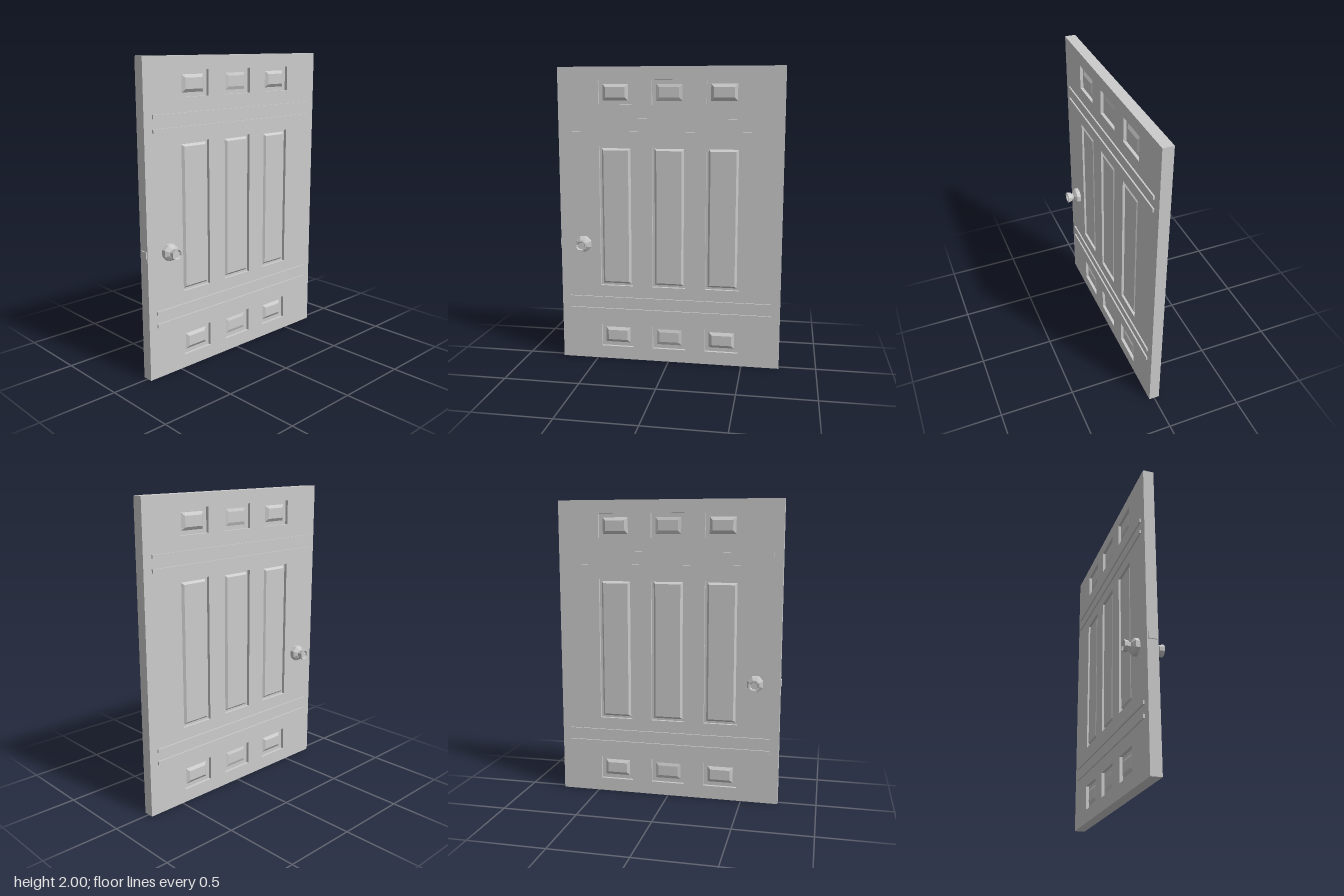
import * as THREE from 'three';

const WIDTH = 1.5, HEIGHT = 2, HALF = 0.035, RECESS = 0.02;
const COLUMNS = [-0.36, 0, 0.36];
const material = new THREE.MeshStandardMaterial({ color: 0xcccccc, flatShading: true });

// Recessed panels: three small ones above and below, three tall ones between
const panels = COLUMNS.flatMap((x) => {
  const raise = x === 0 ? 0.007 : 0.014;
  return [
    { name: 'lowerPanel', x, y: 0.17, w: 0.225, h: 0.16, inset: 0.026, bevel: 0.02, raise },
    { name: 'tallPanel', x, y: 1.004, w: 0.225, h: 0.955, inset: 0.014, bevel: 0.014, raise: 0.016 },
    { name: 'upperPanel', x, y: 1.834, w: 0.225, h: 0.16, inset: 0.026, bevel: 0.02, raise },
  ];
});

function addMesh(parent, name, geometry, x = 0, y = 0, z = 0) {
  const mesh = new THREE.Mesh(geometry, material);
  mesh.name = name;
  mesh.position.set(x, y, z);
  parent.add(mesh);
  return mesh;
}

function rectangle(PathType, x, y, w, h) {
  return new PathType([[-1, -1], [1, -1], [1, 1], [-1, 1]].map(
    ([sx, sy]) => new THREE.Vector2(x + sx * w / 2, y + sy * h / 2)));
}

// Box whose front face is drawn in by the bevel on all four sides
function bevelledField(w, h, depth, bevel) {
  const geometry = new THREE.BoxGeometry(w, h, depth);
  const p = geometry.attributes.position;
  for (let i = 0; i < p.count; i++) {
    if (p.getZ(i) > 0) {
      p.setX(i, p.getX(i) - Math.sign(p.getX(i)) * bevel);
      p.setY(i, p.getY(i) - Math.sign(p.getY(i)) * bevel);
    }
  }
  geometry.translate(0, 0, depth / 2);
  geometry.computeVertexNormals();
  return geometry;
}

// Eight-sided knob with a collar, a neck and a hollowed flared grip
function knobGeometry() {
  const profile = [
    [0.055, 0], [0.055, 0.027], [0.034, 0.042], [0.025, 0.046], [0.025, 0.056],
    [0.033, 0.06], [0.04, 0.09], [0.03, 0.09], [0.024, 0.078], [0, 0.078],
  ].map(([r, y]) => new THREE.Vector2(r, y));
  return new THREE.LatheGeometry(profile, 8, Math.PI / 8).rotateX(Math.PI / 2);
}

// One face of the door, looking along +z
function createFace(name, knobX) {
  const face = new THREE.Group();
  face.name = name;

  const outline = rectangle(THREE.Shape, 0, HEIGHT / 2, WIDTH, HEIGHT);
  outline.holes = panels.map((p) => rectangle(THREE.Path, p.x, p.y, p.w, p.h));
  const floor = HALF - RECESS;
  addMesh(face, 'panelFrame',
    new THREE.ExtrudeGeometry(outline, { depth: RECESS, bevelEnabled: false }), 0, 0, floor);

  for (const p of panels) {
    addMesh(face, p.name,
      bevelledField(p.w - 2 * p.inset, p.h - 2 * p.inset, p.raise, p.bevel), p.x, p.y, floor);
  }

  // Moulding strips
  for (const y of [0.352, 0.434, 1.567, 1.652]) {
    addMesh(face, 'moulding', new THREE.BoxGeometry(1.38, 0.024, 0.014), 0, y, HALF + 0.003);
  }

  addMesh(face, 'knob', knobGeometry(), knobX, 0.815, HALF);
  return face;
}

export function createModel() {
  const door = new THREE.Group();
  door.name = 'door';

  addMesh(door, 'core',
    new THREE.BoxGeometry(WIDTH, HEIGHT, 2 * (HALF - RECESS)), 0, HEIGHT / 2, 0);

  const front = createFace('frontFace', -0.588);
  const back = createFace('backFace', 0.588);
  back.rotation.y = Math.PI;
  door.add(front, back);

  // Latch plate on the edge beside the knobs
  addMesh(door, 'latchPlate', new THREE.BoxGeometry(0.014, 0.044, 0.056), -WIDTH / 2, 0.822, 0);

  door.position.x = 0.003;
  const model = new THREE.Group();
  model.name = 'panelledDoor';
  model.add(door);
  return model;
}
